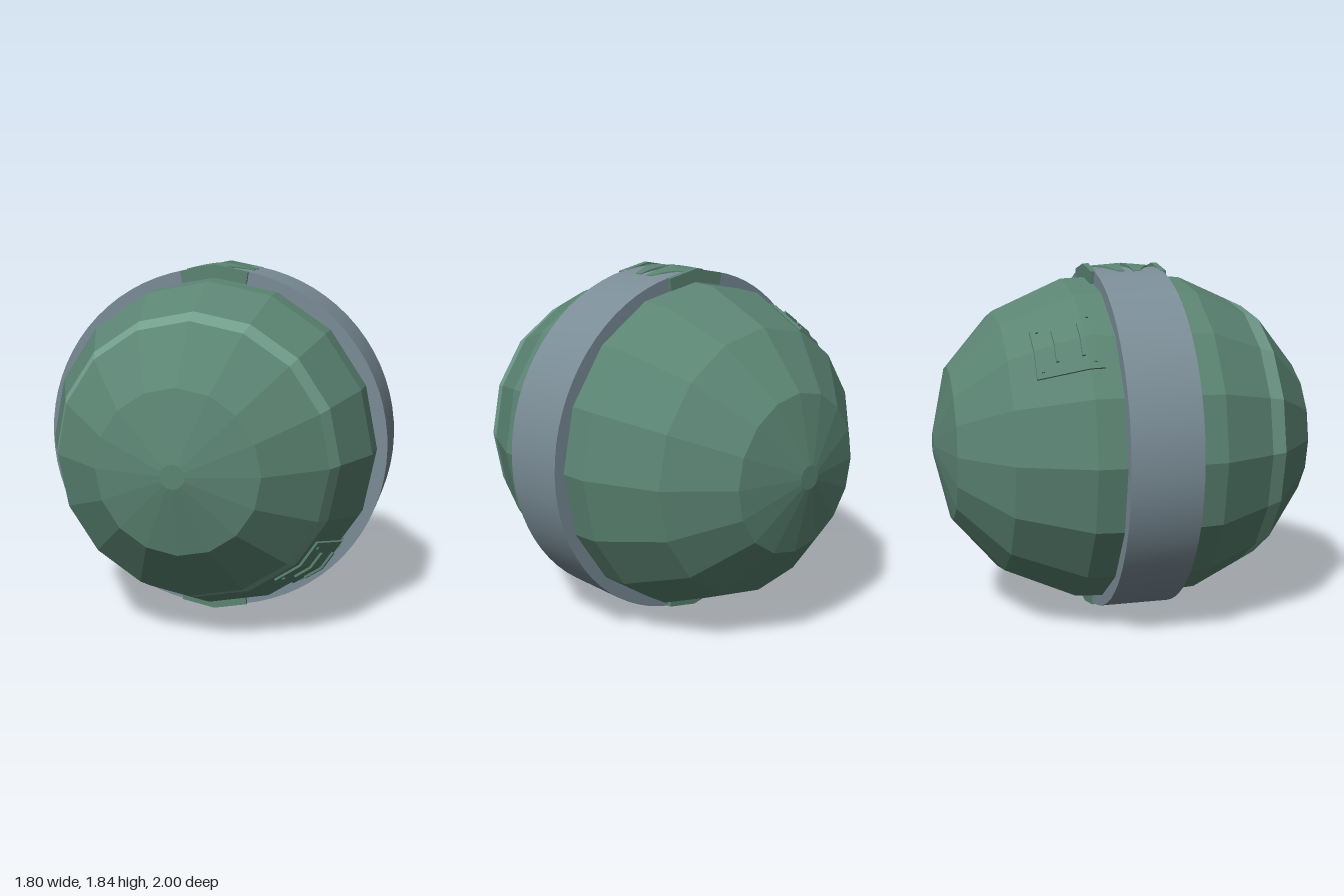
import * as THREE from 'three';
import { toCreasedNormals } from 'three/addons/utils/BufferGeometryUtils.js';

const SIDES = 16;
const CENTRE_Y = 0.92;
// Radius of the shell against distance along its axis (z)
const PROFILE = [[0, 0.857], [0.32, 0.84], [0.68, 0.68], [0.92, 0.4], [1, 0.06]];

function shellRadius(z) {
  const a = Math.abs(z);
  for (let i = 1; i < PROFILE.length; i++) {
    const [z0, r0] = PROFILE[i - 1], [z1, r1] = PROFILE[i];
    if (a <= z1) return r0 + (r1 - r0) * (a - z0) / (z1 - z0);
  }
  return 0;
}

// Point on the faceted shell, raised by an offset
function shellPoint(angle, z, offset) {
  const step = (Math.PI * 2) / SIDES;
  const mid = (Math.floor(angle / step) + 0.5) * step;
  const r = shellRadius(z) * Math.cos(step / 2) / Math.cos(angle - mid) + offset;
  return [r * Math.cos(angle), r * Math.sin(angle), z];
}

function warp(geometry, rule) {
  const p = geometry.attributes.position;
  for (let i = 0; i < p.count; i++) p.setXYZ(i, ...rule(p.getX(i), p.getY(i), p.getZ(i)));
  geometry.computeVertexNormals();
  return geometry;
}

// Lathe about the z axis from [z, radius] pairs, listed back to front
function latheZ(pairs, segments) {
  return new THREE.LatheGeometry(pairs.map(([z, r]) => new THREE.Vector2(r, z)), segments)
    .rotateX(Math.PI / 2);
}

export function createModel() {
  const green = new THREE.MeshStandardMaterial({ name: 'shell green', color: 0x5b8473, flatShading: true });
  const pale = new THREE.MeshStandardMaterial({ name: 'pale green', color: 0x739f8e, flatShading: true });
  const grey = new THREE.MeshStandardMaterial({ name: 'band grey', color: 0x7b8d97 });

  const model = new THREE.Group();
  const body = new THREE.Group();
  body.name = 'pod';
  body.position.y = CENTRE_Y;
  model.add(body);

  const add = (parent, name, geometry, material) => {
    const mesh = new THREE.Mesh(geometry, material);
    mesh.name = name;
    parent.add(mesh);
    return mesh;
  };

  // Faceted shell, split where the pale stripe runs round the front
  const stripeZ = 0.595;
  const back = PROFILE.slice(1).reverse().map(([z, r]) => [-z, r]);
  add(body, 'mainShell', latheZ([[-1, 0], ...back, ...PROFILE.slice(0, 2), [stripeZ, shellRadius(stripeZ)]], SIDES), green);
  add(body, 'frontStripe', latheZ([[stripeZ, shellRadius(stripeZ)], PROFILE[2]], SIDES), pale);
  add(body, 'frontShell', latheZ([...PROFILE.slice(2), [1, 0]], SIDES), green);

  // Smooth band round the middle
  const band = latheZ([[-0.18, 0.78], [-0.18, 0.9], [0.18, 0.9], [0.18, 0.78]], 72);
  add(body, 'middleBand', toCreasedNormals(band, 0.6), grey);

  // Clasps at top and bottom: two bent end plates and a flared pair of inlays
  const roof = new THREE.Shape([
    [-0.168, 0.82], [0, 0.85], [0.168, 0.82], [0.177, 0.882], [0, 0.917], [-0.177, 0.882],
  ].map(([x, y]) => new THREE.Vector2(x, y)));
  for (const turn of [0, Math.PI]) {
    const clasp = new THREE.Group();
    clasp.name = turn ? 'bottomClasp' : 'topClasp';
    clasp.rotation.z = turn;
    body.add(clasp);
    for (const side of [0, Math.PI]) {
      const half = new THREE.Group();
      half.name = 'claspHalf';
      half.rotation.y = side;
      clasp.add(half);
      const plate = new THREE.ExtrudeGeometry(roof, { depth: 0.03, bevelEnabled: false });
      add(half, 'claspEndPlate', plate.translate(0, 0, 0.17), green);
      // x spreads across the band, y runs along z, z is height
      const inlay = new THREE.BoxGeometry(2, 1, 1, 12, 12, 1);
      warp(inlay, (u, v, h) => {
        const t = 0.5 - v; // 0 at the middle, 1 at the outer tip
        const width = t < 0.25 ? 0.18 : 0.03 + 0.15 * Math.pow((1 - t) / 0.75, 1.8);
        const x = u * width;
        const inner = 0.004 + 0.018 * Math.min(1, Math.abs(x) / 0.1);
        const z = inner + t * (0.175 - inner);
        const lift = 0.003 + 0.015 * (1 - t) * (1 - Math.abs(x) / 0.18);
        return [x, Math.sqrt(0.81 - x * x) + (h > 0 ? lift : -0.01), z];
      });
      add(half, 'claspInlay', inlay, green);
    }
  }

  // Vent panels: low front left, and the opposite one high on the back right
  const centreAngle = -Math.PI / 4;
  const onShell = (width, length, zMid, bottom, top, angle = centreAngle) =>
    warp(new THREE.BoxGeometry(width, length, 1, 4, 8, 1), (a, l, h) =>
      shellPoint(angle + a, zMid + l, h > 0 ? top : bottom));
  for (const flip of [0, Math.PI]) {
    const panel = new THREE.Group();
    panel.name = flip ? 'backVentPanel' : 'frontVentPanel';
    panel.setRotationFromAxisAngle(new THREE.Vector3(1, 1, 0).normalize(), flip);
    body.add(panel);
    add(panel, 'panelPlate', onShell(0.41, 0.31, 0.405, -0.01, 0.012), green);
    for (const z of [0.345, 0.462]) {
      add(panel, 'ventRib', onShell(0.24, 0.014, z, 0, 0.024), green);
    }
    for (const z of [0.295, 0.53]) {
      for (const s of [-1, 1]) {
        add(panel, 'rivet', onShell(0.016, 0.013, z, 0, 0.02, centreAngle + s * 0.16), green);
      }
    }
  }
  return model;
}
